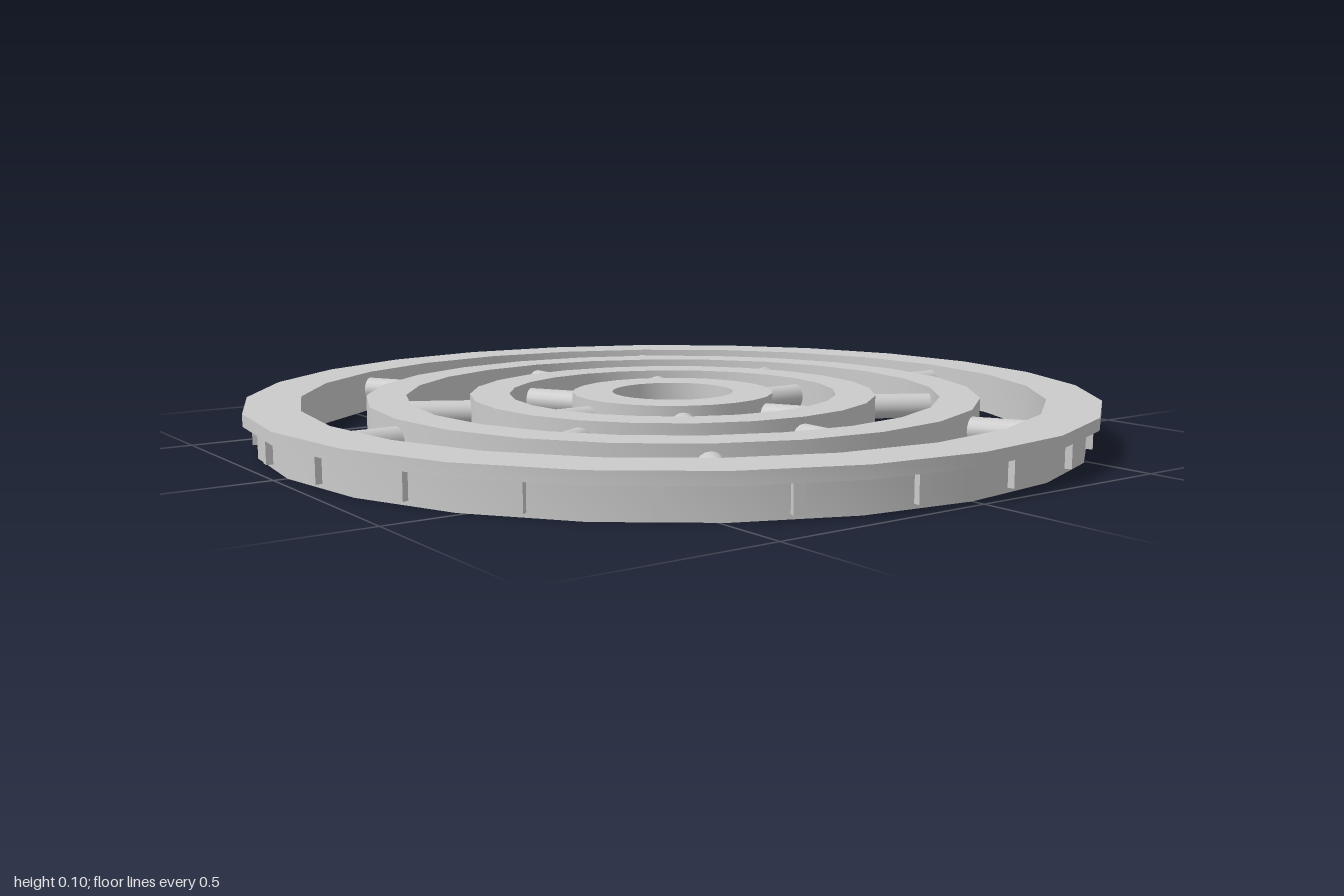
import * as THREE from 'three';
import { toCreasedNormals } from 'three/addons/utils/BufferGeometryUtils.js';

const SIDES = 24;
const TOP = 0.1;
const mat = new THREE.MeshStandardMaterial({ color: 0xcccccc });

// Closed (radius, y) profile swept into a ring
function ring(name, profile) {
  const pts = [...profile, profile[0]].map(([r, y]) => new THREE.Vector2(r, y));
  const geo = toCreasedNormals(new THREE.LatheGeometry(pts, SIDES), Math.PI / 6);
  const mesh = new THREE.Mesh(geo, mat);
  mesh.name = name;
  return mesh;
}

const plainRing = (name, inner, outer) =>
  ring(name, [[inner, 0], [outer, 0], [outer, TOP], [inner, TOP]]);

// Six round spokes bridging two rings
function spokes(name, from, to, startAngle) {
  const group = new THREE.Group();
  group.name = name;
  const geo = new THREE.CylinderGeometry(0.03, 0.03, to - from, 16);
  geo.rotateZ(Math.PI / 2).translate((from + to) / 2, 0.055, 0);
  for (let i = 0; i < 6; i++) {
    const spoke = new THREE.Mesh(geo, mat);
    spoke.name = 'spoke';
    spoke.rotation.y = startAngle + (i * Math.PI) / 3;
    group.add(spoke);
  }
  return group;
}

// Small grip ribs under the rim flange, one per facet
function ribs() {
  const group = new THREE.Group();
  group.name = 'rimRibs';
  const geo = new THREE.BoxGeometry(0.03, 0.062, 0.022).translate(0.962, 0.041, 0);
  for (let i = 0; i < SIDES; i++) {
    const rib = new THREE.Mesh(geo, mat);
    rib.name = 'rib';
    rib.rotation.y = ((i + 0.5) * Math.PI * 2) / SIDES;
    group.add(rib);
  }
  return group;
}

export function createModel() {
  const model = new THREE.Group();
  model.name = 'ringGrate';
  model.add(
    plainRing('hubRing', 0.145, 0.24),
    plainRing('innerRing', 0.39, 0.483),
    plainRing('middleRing', 0.632, 0.725),
    // Outer rim with a lip overhanging at the top
    ring('outerRim', [[0.875, 0], [0.97, 0], [0.97, 0.072], [1, 0.072], [1, TOP], [0.875, TOP]]),
    ribs(),
    spokes('innerSpokes', 0.22, 0.41, 0),
    spokes('middleSpokes', 0.46, 0.65, Math.PI / 6),
    spokes('outerSpokes', 0.7, 0.89, 0),
  );
  return model;
}
